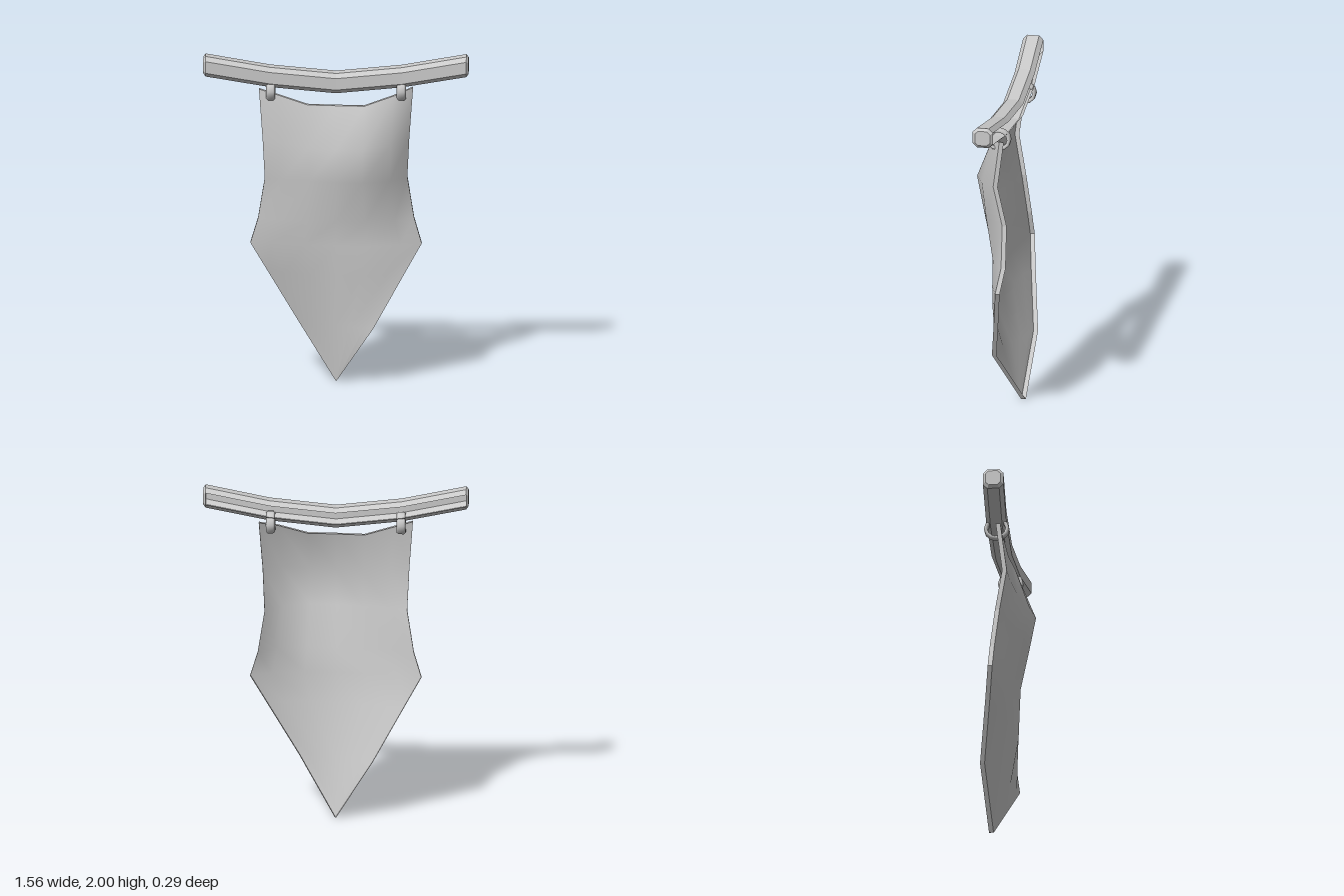
import * as THREE from 'three';
import { mergeGeometries } from 'three/addons/utils/BufferGeometryUtils.js';

const grey = (flatShading) => new THREE.MeshStandardMaterial({ color: 0xcccccc, flatShading, side: THREE.DoubleSide });

// Surface through a grid of points: rows[r][c] = [x, y, z]; skip(c) leaves out a strip
function gridSurface(rows, flip = false, skip = () => false) {
  const n = rows[0].length, index = [];
  for (let r = 0; r < rows.length - 1; r++) {
    for (let c = 0; c < n - 1; c++) {
      if (skip(c)) continue;
      const a = r * n + c, b = a + 1, d = a + n, e = d + 1;
      index.push(...(flip ? [a, b, d, b, e, d] : [a, d, b, b, d, e]));
    }
  }
  const g = new THREE.BufferGeometry();
  g.setAttribute('position', new THREE.Float32BufferAttribute(rows.flat(2), 3));
  g.setIndex(index);
  g.computeVertexNormals();
  return g;
}

// Bent pole with chamfered square section, open along its back strip
function createPole() {
  // x, centre y, centre z, half thickness
  const half = [[0.39, 1.869, -0.03, 0.06], [0.768, 1.939, -0.008, 0.061], [0.782, 1.94, -0.008, 0.045]];
  const stations = [
    ...half.map(([x, ...s]) => [-x, ...s]).reverse(),
    [0, 1.83, -0.039, 0.06],
    ...half,
  ];
  // [y, z] corners; strip 0 faces front, strip 4 faces back
  const k = 0.58;
  const corners = [[-k, 1], [k, 1], [1, k], [1, -k], [k, -1], [-k, -1], [-1, -k], [-1, k], [-k, 1]];
  const rows = stations.map(([x, y, z, h]) => corners.map(([cy, cz]) => [x, y + h * cy, z + h * cz]));
  const body = gridSurface(rows.slice(1, -1), false, (c) => c === 4);
  const bevels = [gridSurface(rows.slice(0, 2)), gridSurface(rows.slice(-2))];
  const caps = [rows[0], rows.at(-1)].map((ring, i) => {
    const [x, y, z] = stations[i ? stations.length - 1 : 0];
    return gridSurface([ring, ring.map(() => [x, y, z])], i === 0);
  });
  const pole = new THREE.Mesh(mergeGeometries([body, ...bevels, ...caps]), grey(true));
  pole.name = 'pole';
  return pole;
}

// Rounded band hanging from the pole's underside
function createRing(x) {
  const section = [[0.053, -0.016], [0.064, -0.027], [0.075, -0.016], [0.075, 0.016], [0.064, 0.027], [0.053, 0.016], [0.053, -0.016]];
  const g = new THREE.LatheGeometry(section.map(([r, h]) => new THREE.Vector2(r, h)), 12);
  g.rotateZ(Math.PI / 2);
  g.scale(1, 0.9, 1);
  const ring = new THREE.Mesh(g, grey(false));
  ring.position.set(x, 1.788, -0.028);
  ring.name = x > 0 ? 'leftRing' : 'rightRing';
  return ring;
}

// Rippled cloth sheet with a pointed lower end and a hem folded back around its edge
function createBanner() {
  const columns = [-1, -0.75, -0.37, 0, 0.37, 0.75, 1];
  const level = (y) => columns.map(() => y);
  // heights, half width, depth at each column
  const profile = [
    [[1.795, 1.76, 1.705, 1.705, 1.705, 1.76, 1.795], 0.454, [0.0, 0.005, 0.02, 0.04, 0.05, 0.02, -0.045]],
    [[1.5, 1.48, 1.455, 1.455, 1.455, 1.48, 1.5], 0.432, [0.036, 0.045, 0.074, 0.124, 0.146, 0.085, -0.004]],
    [level(1.25), 0.42, [-0.008, 0.018, 0.055, 0.094, 0.108, 0.06, -0.056]],
    [level(1.0), 0.46, [-0.034, -0.01, 0.025, 0.046, 0.054, 0.015, -0.057]],
    [level(0.85), 0.505, [-0.042, -0.025, 0.008, 0.032, 0.046, 0.012, -0.03]],
    [level(0.67), 0.402, [-0.068, -0.046, -0.012, 0.022, 0.044, 0.024, -0.004]],
    [level(0.35), 0.22, [-0.118, -0.1, -0.066, -0.031, 0.004, 0.033, 0.045]],
    [level(0), 0.003, level(-0.088)],
  ];
  const sheet = profile.map(([y, w, depth]) => columns.map((u, c) => [u * w, y[c], depth[c]]));
  const outline = [
    ...sheet[0], ...sheet.slice(1).map((row) => row.at(-1)),
    ...sheet.slice(1).reverse().map((row) => row[0]), sheet[0][0],
  ];
  const folded = outline.map(([x, y, z]) => [x, y, z - 0.027]);
  const banner = new THREE.Group();
  banner.name = 'banner';
  const cloth = new THREE.Mesh(gridSurface(sheet), grey(false));
  cloth.name = 'cloth';
  const hem = new THREE.Mesh(gridSurface([outline, folded], true), grey(true));
  hem.name = 'hem';
  banner.add(cloth, hem);
  return banner;
}

export function createModel() {
  const model = new THREE.Group();
  model.name = 'hangingBanner';
  model.add(createPole(), createRing(0.385), createRing(-0.385), createBanner());
  return model;
}
